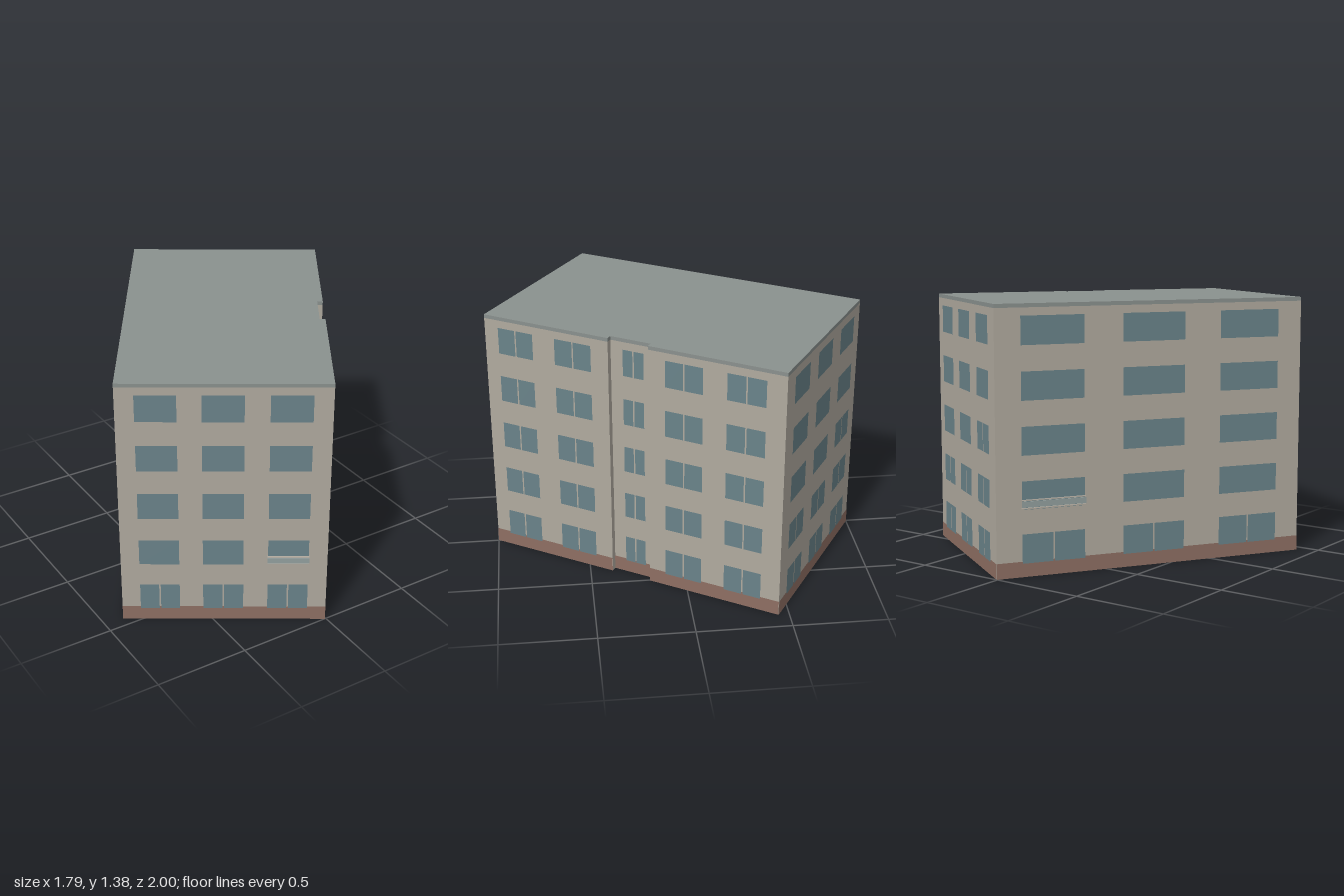
import * as THREE from 'three';

const W = 1.05, L = 1.70, H = 1.375, ROOF = 0.02, BASE = 0.08;
const material = (color, side = THREE.FrontSide) => new THREE.MeshStandardMaterial({ color, side });
const wallMat = material(0xb0aa9f, THREE.DoubleSide);
const baseMat = material(0x8e6f63);
const glassMat = material(0x6a838a);
const roofMat = material(0x8a918e);
const railMat = material(0x93a09f);

// Window rows: [bottom, top]
const rows = [[0.07, 0.22], [0.345, 0.49], [0.62, 0.765], [0.895, 1.04], [1.17, 1.315]];

// Footprint, walked so that outward is on the right hand side of each wall
const w = W / 2, l = L / 2, r0 = l - 0.73, r1 = l - 0.956, rx = w - 0.03;
const outline = [[-w, l], [w, l], [w, r0], [rx, r0], [rx, r1], [w, r1], [w, -l], [-w, -l]];

// Windows per wall: columns [start, end] along the wall, split(row, col) says
// whether a window has two panes, balcony is a column on the second storey
const endColumns = [[0.095, 0.298], [0.418, 0.624], [0.748, 0.954]];
const always = () => true;
const facades = {
  0: { name: 'frontWall', columns: endColumns, split: row => row === 0, balcony: 2 },
  1: { name: 'rightWallNear', columns: [[0.083, 0.29], [0.42, 0.632]], split: always },
  3: { name: 'recessWall', columns: [[0.07, 0.188]], split: always },
  5: { name: 'rightWallFar', columns: [[0.096, 0.303], [0.433, 0.64]], split: always },
  6: { name: 'backWall', columns: endColumns, split: (row, col) => row < 2 || (row === 2 && col === 2) },
  7: { name: 'leftWall', columns: [[0.135, 0.47], [0.68, 1.023], [1.227, 1.564]], split: row => row === 0, balcony: 0 },
};

// Flat panel on a wall, from x0..x1 and y0..y1, at distance z in front of it
function panel(parent, name, x0, x1, y0, y1, z, mat) {
  const mesh = new THREE.Mesh(new THREE.PlaneGeometry(x1 - x0, y1 - y0), mat);
  mesh.position.set((x0 + x1) / 2, (y0 + y1) / 2, z);
  mesh.name = name;
  parent.add(mesh);
}

function addWindow(parent, [x0, x1], [y0, y1], split) {
  if (!split) return panel(parent, 'window', x0, x1, y0, y1, 0.004, glassMat);
  const mid = (x0 + x1) / 2, gap = 0.004;
  panel(parent, 'windowPane', x0, mid - gap, y0, y1, 0.004, glassMat);
  panel(parent, 'windowPane', mid + gap, x1, y0, y1, 0.004, glassMat);
}

// Shallow balcony: floor, front panel and hand rail
function addBalcony(parent, [x0, x1]) {
  const balcony = new THREE.Group();
  balcony.name = 'balcony';
  const parts = [
    ['balconyFloor', 0.006, 0.016, 0.352, 0.008, wallMat],
    ['balconyPanel', 0.030, 0.006, 0.373, 0.011, railMat],
    ['balconyRail', 0.005, 0.016, 0.394, 0.008, wallMat],
  ];
  for (const [name, h, d, y, z, mat] of parts) {
    const mesh = new THREE.Mesh(new THREE.BoxGeometry(x1 - x0 + 0.006, h, d), mat);
    mesh.position.set((x0 + x1) / 2, y, z);
    mesh.name = name;
    balcony.add(mesh);
  }
  parent.add(balcony);
}

export function createModel() {
  const model = new THREE.Group();
  model.name = 'apartmentBlock';

  // Walls with plinth, windows and balconies
  outline.forEach(([x, z], i) => {
    const [nx, nz] = outline[(i + 1) % outline.length];
    const length = Math.hypot(nx - x, nz - z);
    const facade = facades[i];
    const wall = new THREE.Group();
    wall.name = facade ? facade.name : 'recessSide';
    wall.position.set(x, 0, z);
    wall.rotation.y = Math.atan2(z - nz, nx - x);
    panel(wall, 'wall', 0, length, 0, H - ROOF, 0, wallMat);
    if (facade) {
      panel(wall, 'plinth', 0, length, 0, BASE, 0.002, baseMat);
      facade.columns.forEach((column, c) =>
        rows.forEach((row, r) => addWindow(wall, column, row, facade.split(r, c))));
      if (facade.balcony !== undefined) addBalcony(wall, facade.columns[facade.balcony]);
    }
    model.add(wall);
  });

  // Flat roof slab following the footprint
  const shape = new THREE.Shape(outline.map(([x, z]) => new THREE.Vector2(x, z)));
  const roofGeometry = new THREE.ExtrudeGeometry(shape, { depth: ROOF, bevelEnabled: false });
  roofGeometry.rotateX(Math.PI / 2);
  const roof = new THREE.Mesh(roofGeometry, roofMat);
  roof.position.y = H;
  roof.name = 'roof';
  model.add(roof);

  // The block stands turned on its plot
  model.rotation.y = -0.558;
  const root = new THREE.Group();
  root.name = 'building';
  root.add(model);
  return root;
}
